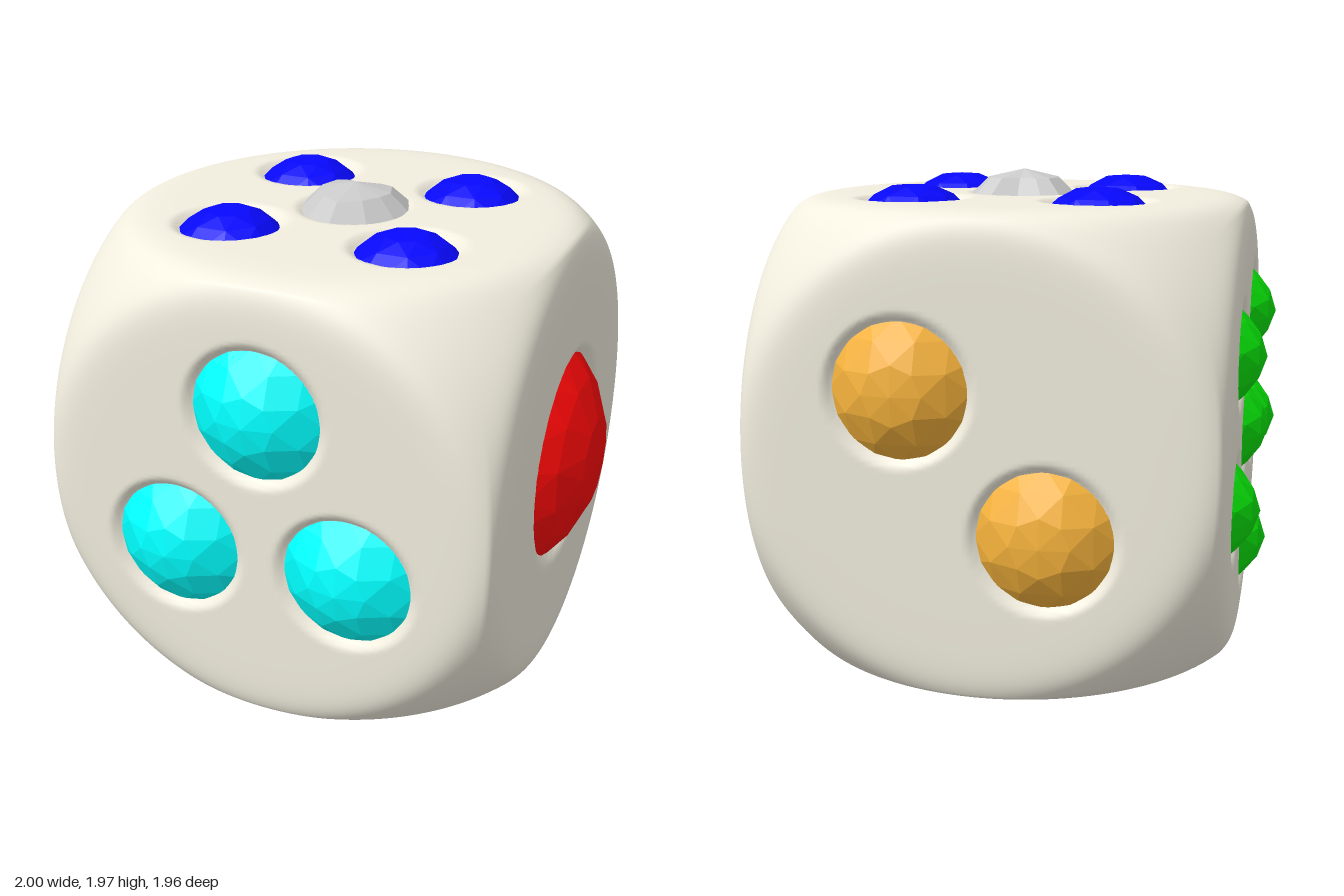
import * as THREE from 'three';
import { mergeVertices } from 'three/addons/utils/BufferGeometryUtils.js';
import { ConvexGeometry } from 'three/addons/geometries/ConvexGeometry.js';

const HALF = 0.892, BALL = 1.23, PIT = 0.035;
const CENTER = new THREE.Vector3(-0.02, 0.987, 0);
const V = (x, y, z) => new THREE.Vector3(x, y, z);

// Gem sets: face normal, gem centres on the face, radius, height, facet count, dome power
const SETS = [
  { name: 'frontGem', color: 0x00ffff, n: V(0, 0, 1), r: 0.26, h: 0.09, sides: 8, power: 2,
    at: [V(-0.02, 1.38, 0.89), V(-0.36, 0.79, 0.89), V(0.32, 0.79, 0.89)] },
  { name: 'rightGem', color: 0xff0808, n: V(1, 0, 0), r: 0.415, h: 0.13, sides: 12, power: 2.5,
    at: [V(0.87, 0.99, 0)] },
  { name: 'backGem', color: 0xf5b23c, n: V(0, 0, -1), r: 0.26, h: 0.09, sides: 8, power: 2.5,
    at: [V(0.24, 1.25, -0.89), V(-0.28, 0.74, -0.89)] },
  { name: 'leftGem', color: 0x08e808, n: V(-1, 0, 0), r: 0.195, h: 0.09, sides: 7, power: 1.8,
    at: [[1.41, 0.21], [1.33, -0.36], [0.99, -0.02], [0.92, 0.46], [0.77, -0.44], [0.51, 0.06]]
      .map(([y, z]) => V(-0.91, y, z)) },
  { name: 'topGem', color: 0x0808ff, n: V(0, 1, 0), r: 0.197, h: 0.05, sides: 8, power: 3,
    at: [[-0.37, -0.35], [0.33, -0.35], [-0.37, 0.35], [0.33, 0.35]].map(([x, z]) => V(x, 1.878, z)) },
  { name: 'bottomGem', color: 0xd010d0, n: V(0, -1, 0), r: 0.225, h: 0.09, sides: 7, power: 2,
    at: [[-0.33, -0.31], [0.29, -0.31], [-0.33, 0.31], [0.29, 0.31]].map(([x, z]) => V(x, 0.095, z)) },
];

// Cube blended with a ball, with a shallow seat pressed in under each gem
function bodyGeometry() {
  let geo = new THREE.BoxGeometry(2, 2, 2, 100, 100, 100);
  geo.deleteAttribute('uv');
  geo.deleteAttribute('normal');
  geo = mergeVertices(geo);
  const seats = SETS.flatMap(s => s.at.map(c => ({ c, n: s.n, r: s.r })));
  seats.push({ c: V(-0.02, 1.878, 0.01), n: V(0, 1, 0), r: 0.2 });
  const pos = geo.attributes.position, p = V(0, 0, 0), d = V(0, 0, 0);
  for (let i = 0; i < pos.count; i++) {
    p.fromBufferAttribute(pos, i).normalize();
    const cube = HALF / Math.max(Math.abs(p.x), Math.abs(p.y), Math.abs(p.z));
    p.multiplyScalar((cube ** -40 + BALL ** -40) ** (-1 / 40)).add(CENTER);
    for (const { c, n, r } of seats) {
      d.subVectors(p, c);
      const up = d.dot(n);
      if (Math.abs(up) > 0.1) continue;
      const dist = d.addScaledVector(n, -up).length();
      p.addScaledVector(n, -PIT * (1 - THREE.MathUtils.smoothstep(dist, r - 0.03, r + 0.02)));
    }
    pos.setXYZ(i, p.x, p.y, p.z);
  }
  geo.computeVertexNormals();
  return geo;
}

// Faceted dome rising along +y
function gemGeometry({ r, h, sides, power }) {
  const pts = [V(0, -0.12, 0), V(0, h, 0)];
  const ring = (t, count, turn) => {
    const y = -PIT + (h + PIT) * (1 - t ** power);
    for (let i = 0; i < count; i++) {
      const a = ((i + turn) / count) * Math.PI * 2;
      pts.push(V(Math.cos(a) * r * t, y, Math.sin(a) * r * t));
    }
  };
  ring(0.42, sides, 0);
  ring(0.76, sides, 0.5);
  ring(1, sides * 2, 0);
  return new ConvexGeometry(pts);
}

// Faceted heart: an outline ring, a raised inner ring and an apex
function heartGeometry() {
  const half = [[0.11, -0.19], [0.19, -0.165], [0.235, -0.03], [0.205, 0.07], [0.13, 0.18]];
  const outline = [[0, -0.155], ...half, [0, 0.27], ...half.map(([x, z]) => [-x, z]).reverse()];
  const count = outline.length, verts = [], index = [];
  for (const [s, y] of [[1, -0.03], [0.6, 0.06]]) {
    for (const [x, z] of outline) verts.push(x * s, y, z * s);
  }
  verts.push(0, 0.092, -0.01);
  for (let i = 0; i < count; i++) {
    const j = (i + 1) % count;
    index.push(i, i + count, j, j, i + count, j + count);
    index.push(count + i, 2 * count, count + j);
  }
  const geo = new THREE.BufferGeometry();
  geo.setAttribute('position', new THREE.Float32BufferAttribute(verts, 3));
  geo.setIndex(index);
  geo.computeVertexNormals();
  return geo;
}

export function createModel() {
  const model = new THREE.Group();
  model.name = 'jewelledDie';

  const body = new THREE.Mesh(bodyGeometry(), new THREE.MeshStandardMaterial({ color: 0xf2eedf }));
  body.name = 'body';
  model.add(body);

  for (const set of SETS) {
    const geo = gemGeometry(set);
    const mat = new THREE.MeshStandardMaterial({ color: set.color, flatShading: true });
    set.at.forEach((c, i) => {
      const gem = new THREE.Mesh(geo, mat);
      gem.name = `${set.name}${i + 1}`;
      gem.position.copy(c);
      gem.quaternion.setFromUnitVectors(V(0, 1, 0), set.n);
      model.add(gem);
    });
  }

  const heart = new THREE.Mesh(heartGeometry(), new THREE.MeshStandardMaterial({
    color: 0xcccccc, flatShading: true, side: THREE.DoubleSide }));
  heart.name = 'heartGem';
  heart.position.set(-0.02, 1.878, 0);
  model.add(heart);
  return model;
}
